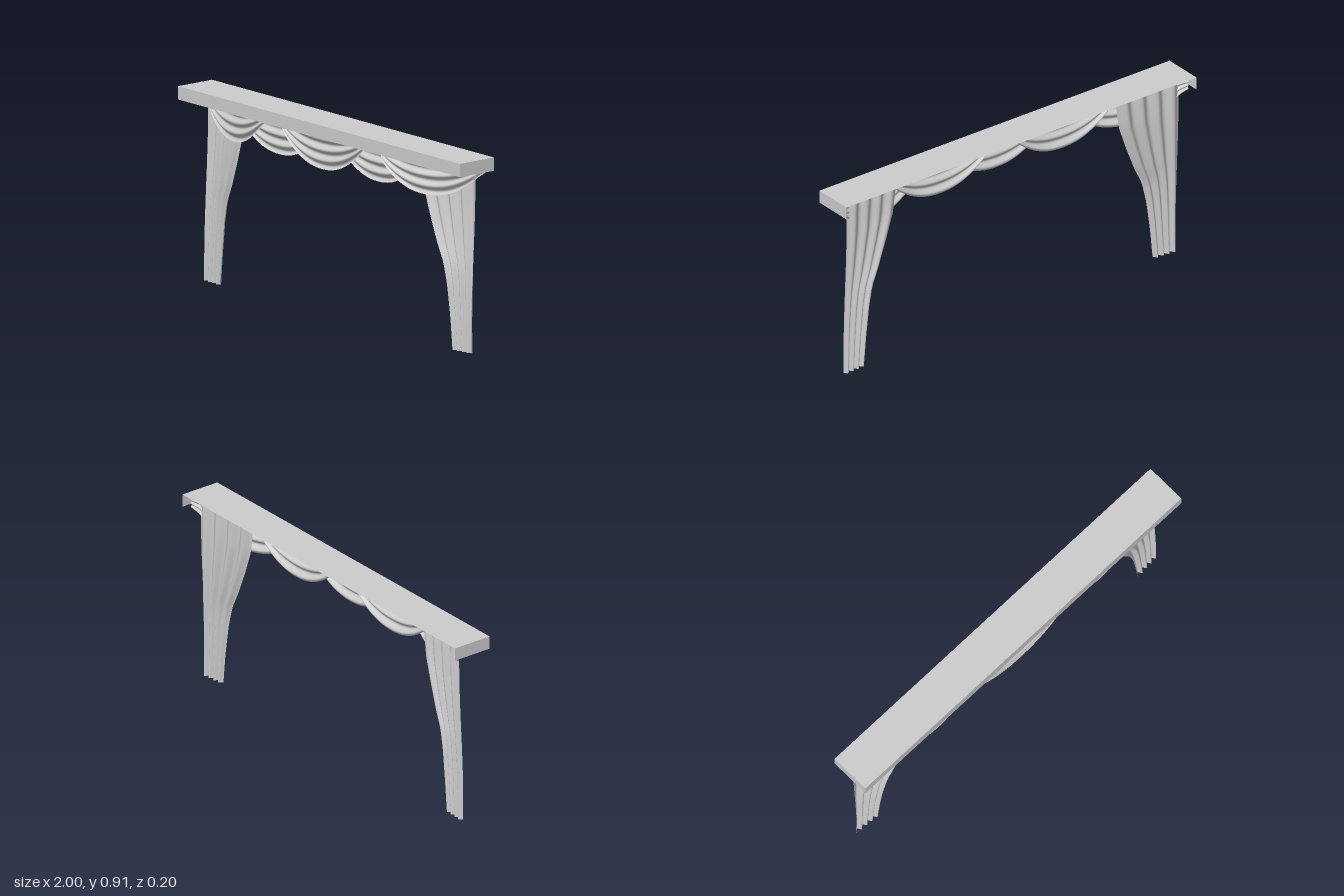
import * as THREE from 'three';

const cloth = new THREE.MeshStandardMaterial({ color: 0xcccccc, side: THREE.DoubleSide });

// Thin sheet whose points follow place(u, v) -> [x, y, z]; u runs across, v runs down, both 0..1
function sheet(name, nu, nv, place) {
  const geo = new THREE.PlaneGeometry(1, 1, nu, nv);
  const pos = geo.attributes.position;
  for (let i = 0; i < pos.count; i++) {
    pos.setXYZ(i, ...place(pos.getX(i) + 0.5, 0.5 - pos.getY(i)));
  }
  geo.computeVertexNormals();
  const mesh = new THREE.Mesh(geo, cloth);
  mesh.name = name;
  return mesh;
}

const mix = THREE.MathUtils.lerp;

// Draped swag between two hanging points, sagging in soft horizontal folds
function swag(name, x0, z0, x1, z1, bulge) {
  return sheet(name, 24, 28, (u, v) => {
    const t = Math.abs(2 * u - 1);
    const sag = 1 - t ** 2.2;
    const round = Math.sqrt(Math.max(0, 1 - t * t));
    const y = mix(0.892, 0.842, v) - sag * mix(0.035, 0.137, v);
    const fold = 0.009 * (0.35 + 0.65 * sag) * Math.sin(v * Math.PI * 6 + 0.6);
    const z = mix(z0, z1, u) + bulge * round + fold - 0.012 * sag * v * v;
    return [mix(x0, x1, u), y, z];
  });
}

// Inner edge of a side curtain, from hem to top: [y, x]
const innerEdge = [[0, 0.825], [0.15, 0.81], [0.3, 0.79], [0.4, 0.768], [0.48, 0.73], [0.6, 0.685], [0.72, 0.645], [0.9, 0.62]];
function innerX(y) {
  let i = 0;
  while (i < innerEdge.length - 2 && y > innerEdge[i + 1][0]) i++;
  const [a, b] = [innerEdge[i], innerEdge[i + 1]];
  return mix(a[1], b[1], (y - a[0]) / (b[0] - a[0]));
}

// Side curtain gathered towards its narrow hem, with vertical pleats
function curtain(name, s) {
  return sheet(name, 48, 24, (u, v) => {
    const y = 0.9 * (1 - v);
    const open = THREE.MathUtils.smoothstep(y, 0.1, 0.8);
    const tilt = mix(mix(-0.02, -0.01, u), mix(-0.046, 0.004, u), open);
    const pleat = mix(0.009, 0.012, open) * Math.cos(u * Math.PI * 8);
    return [s * mix(0.948, innerX(y), u), y, tilt + pleat];
  });
}

// Cornice board with front and end returns, open at the back and below
function cornice() {
  const group = new THREE.Group();
  group.name = 'cornice';
  const panel = (name, w, h, p, rx, ry) => {
    const mesh = new THREE.Mesh(new THREE.PlaneGeometry(w, h), cloth);
    mesh.name = name;
    mesh.position.set(...p);
    mesh.rotation.set(rx, ry, 0);
    group.add(mesh);
  };
  panel('corniceTop', 2, 0.2, [0, 0.912, 0], -Math.PI / 2, 0);
  panel('corniceFront', 2, 0.062, [0, 0.881, 0.1], 0, 0);
  for (const s of [-1, 1]) panel('corniceEnd', 0.2, 0.062, [s, 0.881, 0], 0, s * Math.PI / 2);
  return group;
}

export function createModel() {
  const model = new THREE.Group();
  model.name = 'curtainPelmet';
  model.add(cornice(), swag('centreSwag', -0.29, 0.075, 0.29, 0.075, 0.016));
  for (const s of [-1, 1]) {
    const side = s > 0 ? 'left' : 'right';
    model.add(
      curtain(side + 'Curtain', s),
      swag(side + 'BackSwag', s * 0.06, 0.04, s * 0.64, 0.04, 0.012),
      // the end swags wrap backwards around the corners
      swag(side + 'EndSwag', s * 0.41, 0.075, s * 0.98, -0.065, 0.042)
    );
  }
  return model;
}
